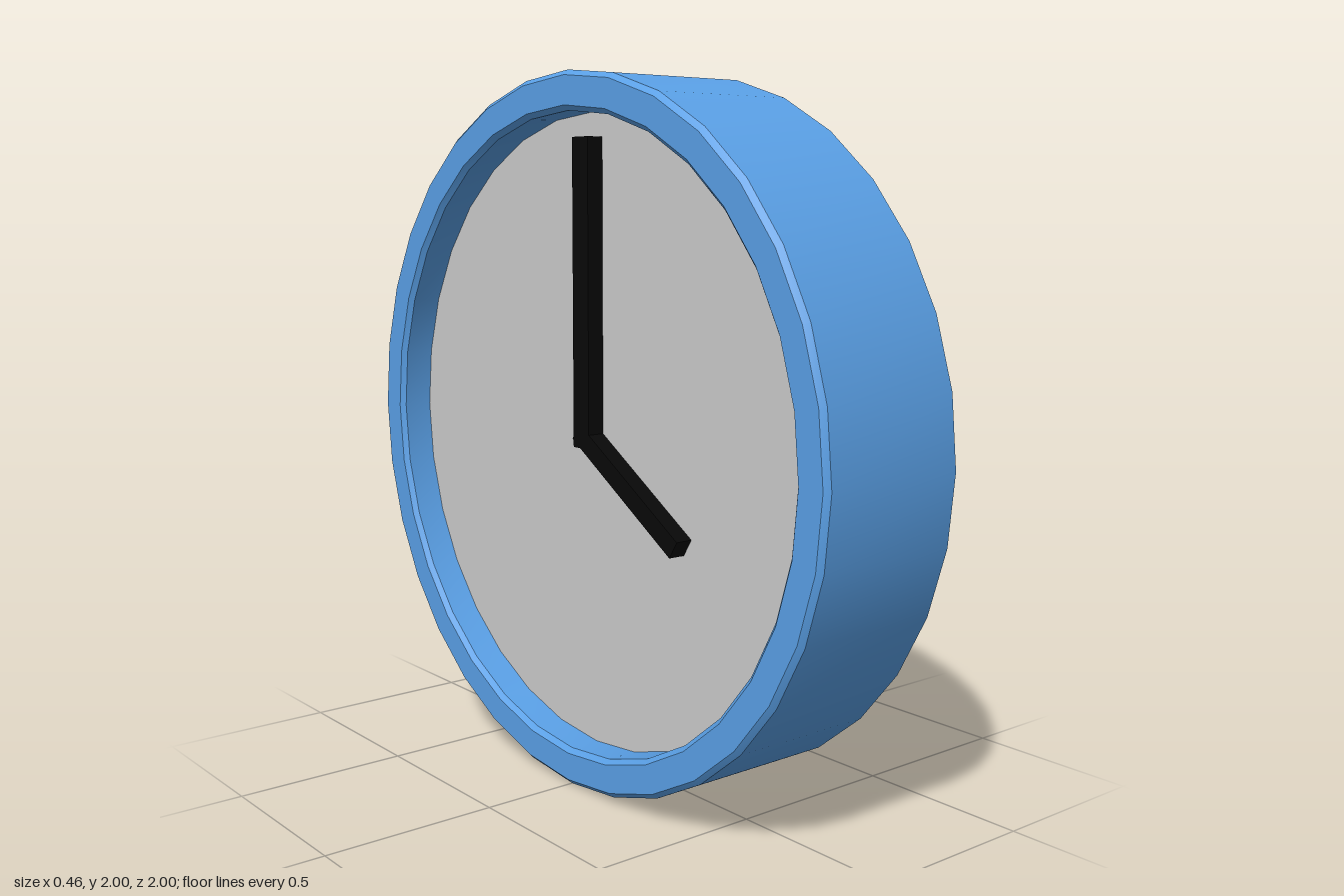
import * as THREE from 'three';
import { toCreasedNormals } from 'three/addons/utils/BufferGeometryUtils.js';

const SEGMENTS = 32;
const HALF_DEPTH = 0.23;
const BEVEL = 0.014;
const FACE_RADIUS = 0.893;
const FACE_DEPTH = 0.128; // distance of the dial from the middle plane

function createMesh(name, geometry, color) {
  const mesh = new THREE.Mesh(geometry, new THREE.MeshStandardMaterial({ color }));
  mesh.name = name;
  return mesh;
}

// A hand lying on the dial; it starts just behind the pivot and points along +y
function createHand(name, length, width, angle) {
  const tail = 0.03;
  const thickness = 0.05;
  const geometry = new THREE.BoxGeometry(thickness, length + tail, width);
  geometry.translate(-FACE_DEPTH - thickness / 2, (length - tail) / 2, 0);
  geometry.rotateX(angle);
  return createMesh(name, geometry, 0x080808);
}

export function createModel() {
  const clock = new THREE.Group();
  clock.name = 'wallClock';

  // Case: closed back, bevelled rim and recessed front, turned to open toward -x
  const profile = [
    [0, -HALF_DEPTH],
    [1 - BEVEL, -HALF_DEPTH],
    [1, -HALF_DEPTH + BEVEL],
    [1, HALF_DEPTH - BEVEL],
    [1 - BEVEL, HALF_DEPTH],
    [FACE_RADIUS + BEVEL, HALF_DEPTH],
    [FACE_RADIUS, HALF_DEPTH - BEVEL],
    [FACE_RADIUS, FACE_DEPTH],
  ].map(([r, h]) => new THREE.Vector2(r, h));
  const caseGeometry = toCreasedNormals(new THREE.LatheGeometry(profile, SEGMENTS), 0.5);
  caseGeometry.rotateZ(Math.PI / 2);
  clock.add(createMesh('case', caseGeometry, 0x5aa0e6));

  // Dial
  const dialGeometry = new THREE.CircleGeometry(FACE_RADIUS, SEGMENTS);
  dialGeometry.rotateY(-Math.PI / 2);
  dialGeometry.translate(-FACE_DEPTH, 0, 0);
  clock.add(createMesh('dial', dialGeometry, 0xcccccc));

  // Hands at four o'clock
  clock.add(createHand('minuteHand', 0.825, 0.07, 0));
  clock.add(createHand('hourHand', 0.47, 0.056, THREE.MathUtils.degToRad(122)));

  clock.position.y = 1;
  const model = new THREE.Group();
  model.add(clock);
  return model;
}
